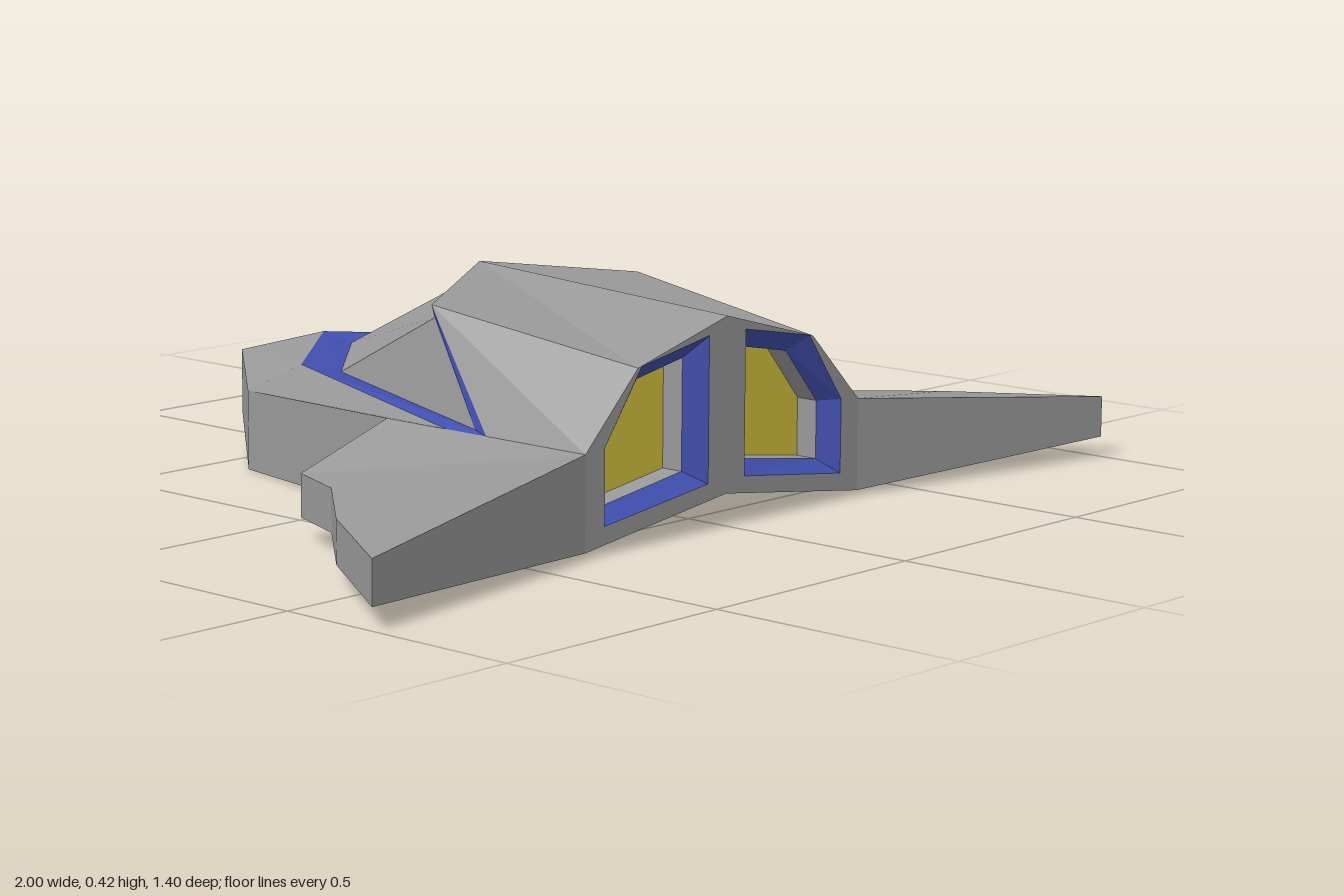
import * as THREE from 'three';

const paint = (name, color) => {
  const m = new THREE.MeshStandardMaterial({ color });
  m.name = name;
  return m;
};

export function createModel() {
  const group = new THREE.Group();
  const grey = paint('hull grey', 0x999999);
  const blue = paint('trim blue', 0x4150b0);
  const yellow = paint('glow yellow', 0xd6c63e);

  // Flat polygons on the +x half, mirrored to -x. With a facing, each triangle is turned toward it.
  function panels(name, material, polys, facing) {
    const pos = [];
    const f = facing && new THREE.Vector3(...facing);
    for (const poly of polys) {
      for (let i = 1; i < poly.length - 1; i++) {
        let [a, b, c] = [poly[0], poly[i], poly[i + 1]].map(p => new THREE.Vector3(...p));
        const n = b.clone().sub(a).cross(c.clone().sub(a));
        if (f && n.dot(f) < 0) [b, c] = [c, b];
        for (const p of [a, b, c]) pos.push(p.x, p.y, p.z);
        for (const p of [a, c, b]) pos.push(-p.x, p.y, p.z);
      }
    }
    const g = new THREE.BufferGeometry();
    g.setAttribute('position', new THREE.Float32BufferAttribute(pos, 3));
    g.computeVertexNormals();
    const mesh = new THREE.Mesh(g, material);
    mesh.name = name;
    group.add(mesh);
  }

  // Recessed opening: blue bevel, grey walls, glowing back plate (rims run counter-clockwise from outside)
  function opening(name, outer, inner, bevel, depth) {
    const shift = (loop, d) => loop.map(([x, y, z]) => [x, y, z + d]);
    const ring = (a, b) => a.map((p, i) => {
      const j = (i + 1) % a.length;
      return [p, a[j], b[j], b[i]];
    });
    const rim = shift(inner, bevel), back = shift(inner, depth);
    panels(name + 'Frame', blue, ring(outer, rim));
    panels(name + 'Walls', grey, ring(rim, back));
    panels(name + 'Glow', yellow, [back]);
  }

  // Hull corners
  const noseTop = [0, 0.17, -0.70], noseLow = [0, 0.04, -0.70];
  const cheekTop = [0.25, 0.155, -0.41], cheekLow = [0.25, 0, -0.41];
  const rootTop = [0.375, 0.185, 0.10], rootLow = [0.375, 0.01, 0.10];
  const tailTop = [0.375, 0.185, 0.59], tailLow = [0.375, 0.01, 0.59];
  // Trim band around the canopy
  const band0 = [0, 0.235, -0.46], band1 = [0.24, 0.222, -0.27], band2 = [0.375, 0.185, 0.25];
  const base0 = [0, 0.222, -0.38], base1 = [0.212, 0.214, -0.19], base2 = [0.362, 0.19, 0.31];
  // Canopy crest and engine housing
  const crest0 = [0, 0.395, -0.03], crest1 = [0.272, 0.36, 0.12];
  const shell0 = [0, 0.42, -0.03], shell1 = [0.28, 0.385, 0.12], shell2 = [0.375, 0.185, 0.35];
  const rear0 = [0, 0.385, 0.59], rear1 = [0.24, 0.32, 0.59];

  panels('noseSides', grey, [[noseTop, noseLow, cheekLow, cheekTop]], [1, 0, -1]);
  panels('hullSides', grey, [[cheekTop, cheekLow, rootLow, rootTop]], [1, 0, 0]);
  panels('belly', grey, [[noseLow, cheekLow, rootLow, tailLow, [0, 0.06, 0.59]]], [0, -1, 0]);
  panels('frontDeck', grey, [
    [noseTop, cheekTop, band1, band0],
    [cheekTop, rootTop, band2, band1],
  ], [0, 1, 0]);
  panels('canopyTrim', blue, [
    [band0, band1, base1, base0],
    [band1, band2, base2, base1],
    [band2, shell2, base2],
  ], [0, 1, 0]);
  panels('canopy', grey, [[base0, base1, crest1, crest0], [base1, base2, crest1]], [0, 1, -0.3]);
  panels('housingLip', blue, [[shell0, shell1, crest1, crest0], [shell1, shell2, base2, crest1]], [0, 0, -1]);
  panels('engineHousing', grey, [
    [shell0, shell1, rear1, rear0],
    [shell1, shell2, tailTop, rear1],
  ], [0.3, 1, 0]);

  // Wings
  const edge = [[1, 0.70], [0.83, 0.44], [0.66, 0.25], [0.61, 0.12]];
  const top = edge.map(([x, z]) => [x, 0.12, z]);
  const low = edge.map(([x, z]) => [x, 0.04, z]);
  panels('wingTop', grey, [[tailTop, ...top, rootTop]], [0, 1, 0]);
  panels('wingUnderside', grey, [[tailLow, ...low, rootLow]], [0, -1, 0]);
  panels('wingLeadingEdge', grey, top.slice(1).map((p, i) => [top[i], p, low[i + 1], low[i]]), [1, 0, -0.3]);
  panels('wingTrailingEdge', grey, [[tailTop, top[0], low[0], tailLow]], [0, 0, 1]);

  // Wing root intakes, facing forward
  opening('intake',
    [rootLow, rootTop, top[3], low[3]],
    [[0.41, 0.04, 0.105], [0.41, 0.15, 0.105], [0.575, 0.108, 0.118], [0.575, 0.058, 0.118]],
    0.03, 0.07);

  // Rear wall with two engine openings
  const exhaust = [[0.05, 0.085], [0.325, 0.05], [0.325, 0.19], [0.23, 0.322], [0.05, 0.355]];
  const throat = [[0.083, 0.108], [0.295, 0.077], [0.295, 0.187], [0.205, 0.292], [0.083, 0.315]];
  const half = [tailLow, tailTop, rear1];
  const wall = new THREE.Shape([
    [0, 0.06], ...half, [0, 0.385], ...half.map(([x, y]) => [-x, y]).reverse(),
  ].map(([x, y]) => new THREE.Vector2(x, y)));
  for (const s of [1, -1]) {
    wall.holes.push(new THREE.Path(exhaust.map(([x, y]) => new THREE.Vector2(s * x, y))));
  }
  const rearWall = new THREE.Mesh(new THREE.ShapeGeometry(wall), grey);
  rearWall.name = 'rearWall';
  rearWall.position.z = 0.59;
  group.add(rearWall);
  const atRear = ([x, y]) => [x, y, 0.59];
  opening('engine', exhaust.map(atRear), throat.map(atRear), -0.035, -0.08);

  return group;
}
